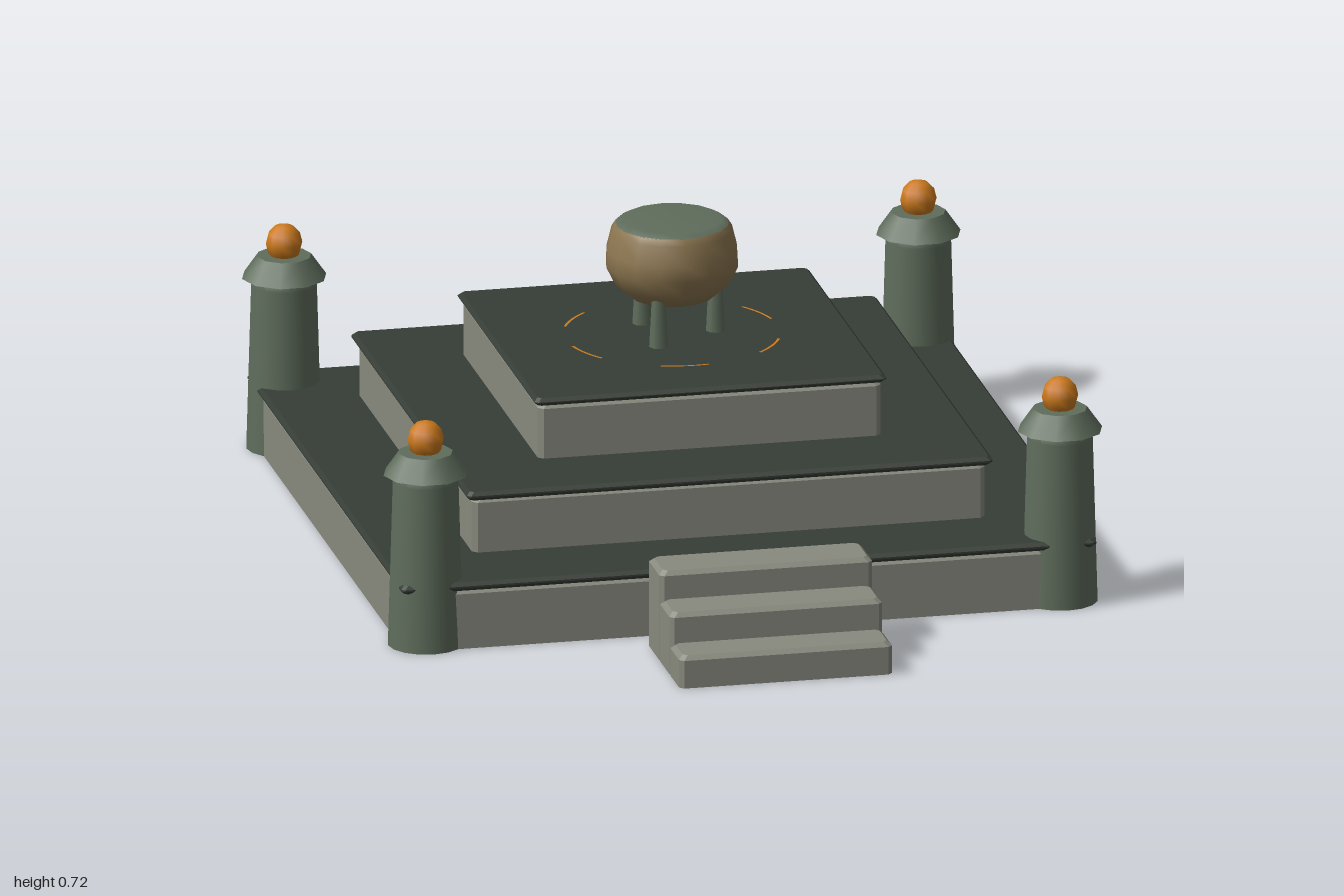
import * as THREE from 'three';

const material = (name, color) => new THREE.MeshStandardMaterial({ name, color, side: THREE.DoubleSide });

// Box with chamfered edges, standing on y = 0; the underside may be left open
function chamferBox(w, h, d, c, closed) {
  const ring = (y, inset) => {
    const x = w / 2 - inset, z = d / 2 - inset;
    return [[-x + c, z], [x - c, z], [x, z - c], [x, -z + c], [x - c, -z], [-x + c, -z], [-x, -z + c], [-x, z - c]]
      .map(([px, pz]) => [px, y, pz]);
  };
  const rings = closed ? [ring(0, c), ring(c, 0)] : [ring(0, 0)];
  rings.push(ring(h - c, 0), ring(h, c));
  const top = rings[rings.length - 1], pos = [];
  for (let i = 0; i < 8; i++) {
    const j = (i + 1) % 8;
    for (let k = 0; k + 1 < rings.length; k++) {
      const a = rings[k], b = rings[k + 1];
      pos.push(...a[i], ...a[j], ...b[j], ...a[i], ...b[j], ...b[i]);
    }
    pos.push(0, h, 0, ...top[i], ...top[j]);
    if (closed) pos.push(0, 0, 0, ...rings[0][j], ...rings[0][i]);
  }
  const g = new THREE.BufferGeometry();
  g.setAttribute('position', new THREE.Float32BufferAttribute(pos, 3));
  g.computeVertexNormals();
  return g;
}

const lathe = (points, sides) => new THREE.LatheGeometry(points.map(([r, y]) => new THREE.Vector2(r, y)), sides);

export function createModel() {
  const stone = material('pale stone', 0x888a7e);
  const slate = material('dark slate', 0x363d36);
  const green = material('green stone', 0x5f6d5c);
  const bronze = material('bronze', 0x8c7650);
  const ember = material('ember orange', 0xcc7a1e);

  const model = new THREE.Group();
  model.name = 'altar';
  const add = (parent, name, geometry, mat, x = 0, y = 0, z = 0) => {
    const mesh = new THREE.Mesh(geometry, mat);
    mesh.name = name;
    mesh.position.set(x, y, z);
    parent.add(mesh);
    return mesh;
  };

  // Everything but the stairs is centred on the platform
  const platform = new THREE.Group();
  platform.name = 'platform';
  platform.position.z = -0.18;
  model.add(platform);

  // Three tiers, each with an overhanging slab: [wall width, slab width, base y, slab y, top y]
  [[1.58, 1.6, 0, 0.138, 0.158], [1.18, 1.21, 0.158, 0.284, 0.304], [0.79, 0.81, 0.304, 0.43, 0.448]]
    .forEach(([wall, slab, y0, y1, y2], i) => {
      add(platform, `tierWall${i + 1}`, chamferBox(wall, y1 - y0 + 0.003, wall, 0.012, false), stone, 0, y0, 0);
      add(platform, `tierSlab${i + 1}`, chamferBox(slab, y2 - y1, slab, 0.008, true), slate, 0, y1, 0);
    });

  // Corner pillars with ten-sided caps and glowing orbs
  for (const sx of [-1, 1]) {
    for (const sz of [-1, 1]) {
      const pillar = new THREE.Group();
      pillar.name = 'cornerPillar';
      pillar.position.set(sx * 0.73, 0, sz * 0.73);
      platform.add(pillar);
      add(pillar, 'pillarShaft', lathe([[0.086, 0], [0.075, 0.385], [0.068, 0.402]], 16), green);
      const cap = new THREE.CylinderGeometry(0.062, 0.097, 0.05, 10);
      add(pillar, 'pillarCap', cap.toNonIndexed(), green, 0, 0.427, 0).rotation.y = Math.PI / 2;
      const orb = add(pillar, 'pillarOrb', new THREE.SphereGeometry(0.042, 10, 6), ember, 0, 0.481, 0);
      orb.scale.y = 1.07;
    }
  }

  // Bowl on three tapered legs
  const bowl = new THREE.Group();
  bowl.name = 'bowl';
  platform.add(bowl);
  add(bowl, 'bowlBody', lathe([[0, 0.537], [0.095, 0.54], [0.13, 0.57], [0.151, 0.613], [0.149, 0.65], [0.138, 0.695], [0.128, 0.71]], 16), bronze);
  add(bowl, 'bowlTop', lathe([[0.129, 0.709], [0.112, 0.719], [0, 0.72]], 16), green);
  for (let i = 0; i < 3; i++) {
    const a = i * Math.PI * 2 / 3;
    add(bowl, 'bowlLeg', new THREE.CylinderGeometry(0.016, 0.022, 0.115, 8), green,
      0.1 * Math.cos(a), 0.503, 0.1 * Math.sin(a));
  }

  // Broken glowing ring inlaid in the top slab
  for (let i = 0; i < 6; i++) {
    const arc = new THREE.RingGeometry(0.241, 0.247, 8, 1, i * Math.PI / 3 + 0.2, 0.45);
    add(platform, 'glowRingArc', arc, ember, 0, 0.4495, 0).rotation.x = -Math.PI / 2;
  }

  // Free-standing front stairs: [back z, front z, height]
  [[0.89, 1, 0.075], [0.785, 0.9, 0.145], [0.67, 0.795, 0.21]].forEach(([z0, z1, h], i) =>
    add(model, `stairStep${i + 1}`, chamferBox(0.49, h, z1 - z0, 0.01, false), stone, 0, 0, (z0 + z1) / 2));

  return model;
}
